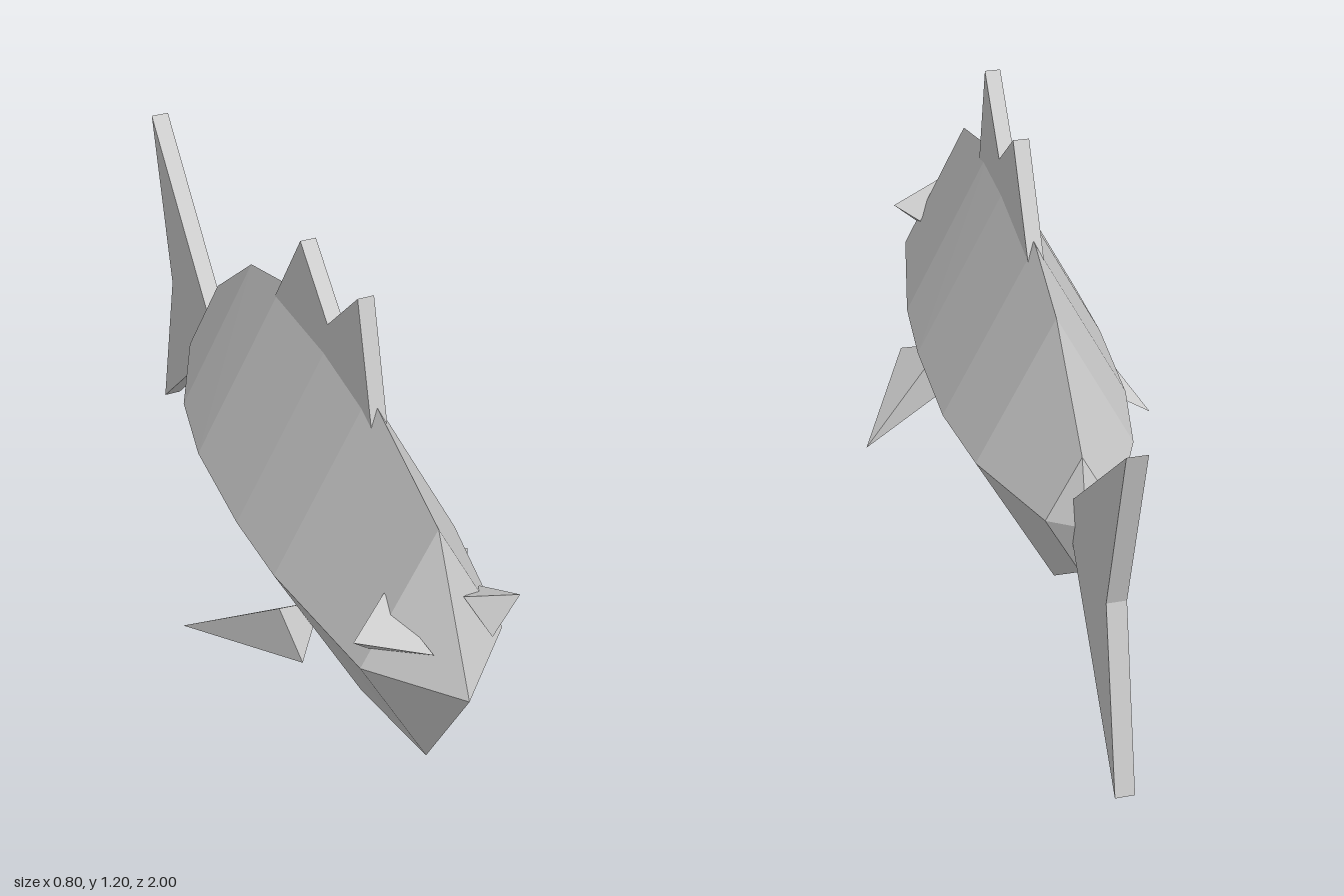
import * as THREE from 'three';
import { ConvexGeometry } from 'three/addons/geometries/ConvexGeometry.js';

const grey = new THREE.MeshStandardMaterial({ color: 0xcccccc, flatShading: true });
grey.name = 'plain grey';

function part(name, geometry) {
  const mesh = new THREE.Mesh(geometry, grey);
  mesh.name = name;
  return mesh;
}

// Diamond cross-sections joined along z; each station is [z, half width, half height]
function diamondLoft(stations, centreY) {
  const rings = stations.map(([z, w, h]) => [
    [w, centreY, z], [0, centreY + h, z], [-w, centreY, z], [0, centreY - h, z],
  ]);
  const out = [];
  for (let s = 0; s < rings.length - 1; s++) {
    const a = rings[s], b = rings[s + 1];
    for (let i = 0; i < 4; i++) {
      const j = (i + 1) % 4;
      if (stations[s][1] > 0) out.push(...a[i], ...b[i], ...a[j]);
      if (stations[s + 1][1] > 0) out.push(...a[j], ...b[i], ...b[j]);
      // blunt nose and tail points close with a single triangle per side
      if (stations[s + 1][1] === 0) continue;
    }
  }
  const g = new THREE.BufferGeometry();
  g.setAttribute('position', new THREE.Float32BufferAttribute(out, 3));
  g.computeVertexNormals();
  return g;
}

// Flat fin drawn as [z, y] points, extruded across x
function plateFin(points, halfThickness) {
  const shape = new THREE.Shape(points.map(([z, y]) => new THREE.Vector2(-z, y)));
  const g = new THREE.ExtrudeGeometry(shape, { depth: 2 * halfThickness, bevelEnabled: false });
  g.translate(0, 0, -halfThickness);
  g.rotateY(Math.PI / 2);
  return g;
}

const spike = (...corners) =>
  new ConvexGeometry(corners.map((c) => new THREE.Vector3(...c)));

export function createModel() {
  const fish = new THREE.Group();
  fish.name = 'fish';

  fish.add(part('body', diamondLoft([
    [1, 0, 0], [0.81, 0.18, 0.35], [0.44, 0.24, 0.47], [0.22, 0.25, 0.485],
    [-0.08, 0.24, 0.465], [-0.3, 0.2, 0.39], [-0.56, 0.087, 0.17], [-0.61, 0, 0],
  ], 0.49)));

  // Twin-peaked fin on the back
  fish.add(part('dorsalFin', plateFin([
    [0.505, 0.87], [0.405, 1.2], [0.24, 1.03], [0.075, 1.165], [-0.11, 0.88],
  ], 0.02)));

  // Forked tail
  fish.add(part('tailFin', plateFin([
    [-0.51, 0.49], [-1, 0.975], [-0.88, 0.49], [-1, 0.005],
  ], 0.024)));

  // Side fins: long pyramids, each turned its own way
  fish.add(part('leftSideFin', spike(
    [0.4, 0.2, 0.225], [0.25, 0.32, 0.515], [0.152, 0.403, 0.383], [0.115, 0.24, 0.425])));
  fish.add(part('rightSideFin', spike(
    [-0.4, 0.2, 0.22], [-0.235, 0.4, 0.46], [-0.19, 0.24, 0.5], [-0.095, 0.32, 0.39])));

  // Eyes: small pyramids
  fish.add(part('leftEye', spike(
    [0.045, 0.67, 0.86], [0.205, 0.602, 0.835], [0.127, 0.52, 0.86], [0.143, 0.585, 0.755])));
  fish.add(part('rightEye', spike(
    [-0.21, 0.6, 0.835], [-0.105, 0.655, 0.765], [-0.05, 0.575, 0.915], [-0.16, 0.537, 0.8])));

  return fish;
}
